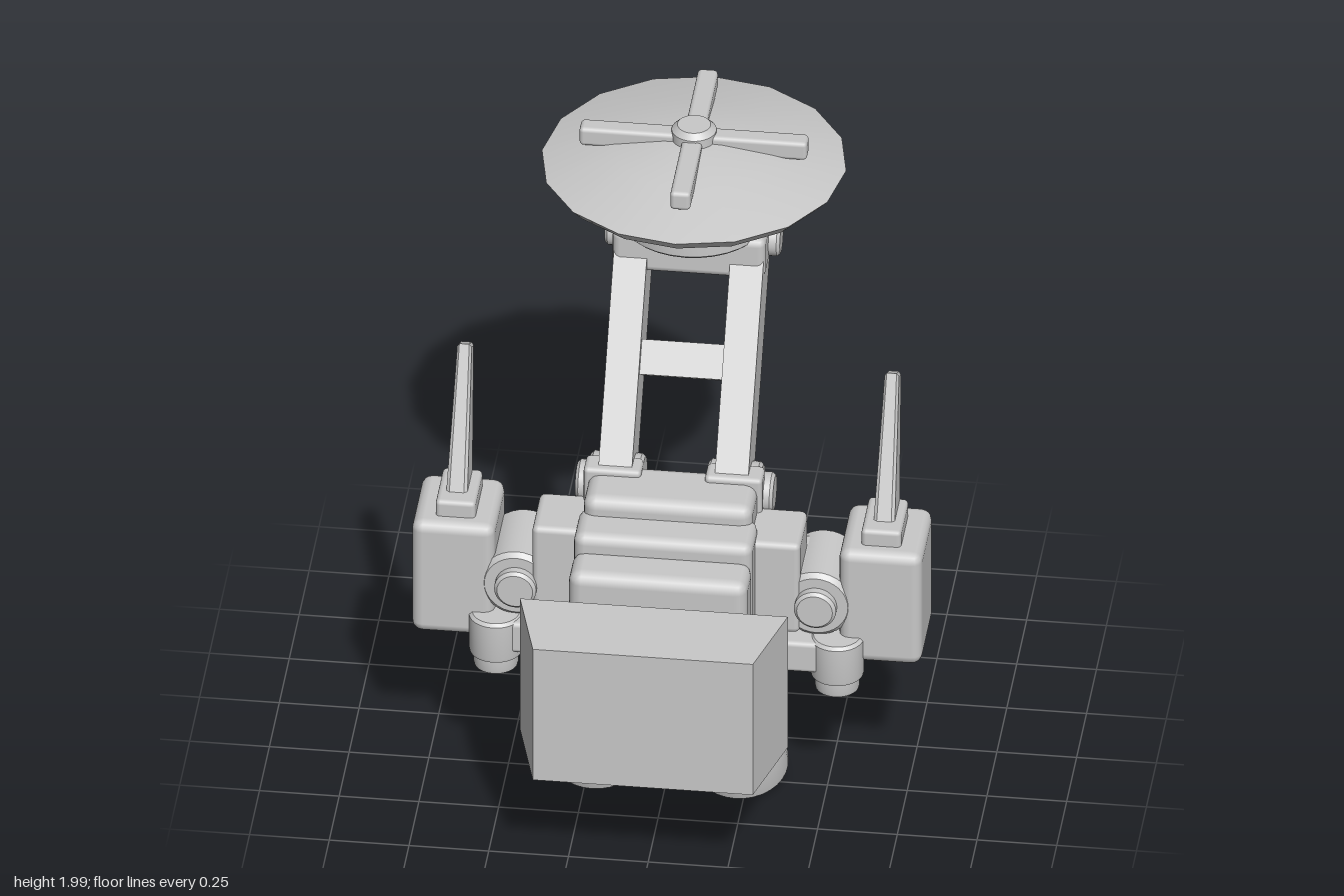
import * as THREE from 'three';
import { toCreasedNormals } from 'three/addons/utils/BufferGeometryUtils.js';
import { RoundedBoxGeometry } from 'three/addons/geometries/RoundedBoxGeometry.js';

const grey = new THREE.MeshStandardMaterial({ color: 0xc8c8c8, side: THREE.DoubleSide });
grey.name = 'plain grey';

export function createModel() {
  const model = new THREE.Group();
  model.name = 'jetPack';

  const add = (name, geometry, x = 0, y = 0, z = 0, parent = model) => {
    const mesh = new THREE.Mesh(geometry, grey);
    mesh.name = name;
    mesh.position.set(x, y, z);
    parent.add(mesh);
    return mesh;
  };
  // Box given by its limits, with chamfered edges when bevel > 0
  const block = (name, [x0, x1], [y0, y1], [z0, z1], bevel = 0, parent = model) => {
    const w = Math.abs(x1 - x0), h = y1 - y0, d = z1 - z0;
    const g = bevel ? new RoundedBoxGeometry(w, h, d, 2, bevel) : new THREE.BoxGeometry(w, h, d);
    return add(name, g, (x0 + x1) / 2, (y0 + y1) / 2, (z0 + z1) / 2, parent);
  };
  const lathe = (points, sides = 32) => toCreasedNormals(
    new THREE.LatheGeometry(points.map(([r, y]) => new THREE.Vector2(r, y)), sides), 0.6);
  // Cylinder with small chamfers, centred on its own axis
  const drum = (r, h, c = 0.01) => lathe([[0, -h / 2], [r - c, -h / 2], [r, -h / 2 + c],
    [r, h / 2 - c], [r - c, h / 2], [0, h / 2]]);
  const sideShape = (points, depth, bevel = 0) => {
    const shape = new THREE.Shape(points.map(([z, y]) => new THREE.Vector2(z, y)));
    const g = new THREE.ExtrudeGeometry(shape, { depth: depth - 2 * bevel, bevelEnabled: bevel > 0,
      bevelThickness: bevel, bevelSize: bevel, bevelOffset: -bevel, bevelSegments: 1 });
    return g.translate(0, 0, bevel - depth / 2).rotateY(-Math.PI / 2);
  };

  // Stepped body
  block('frontSlab', [-0.28, 0.28], [0.32, 0.91], [0.37, 0.53], 0.04);
  block('middleSlab', [-0.28, 0.28], [0.36, 0.97], [0.22, 0.4], 0.035);
  block('rearBody', [-0.265, 0.265], [0.4, 1.03], [0.06, 0.28], 0.04);
  block('backPanel', [-0.23, 0.23], [0.62, 0.93], [0.025, 0.12], 0.02);

  // Rear vent: frame with slats
  const vent = new THREE.Shape();
  vent.moveTo(-0.13, 0.44).lineTo(0.13, 0.44).lineTo(0.13, 0.59).lineTo(-0.13, 0.59).closePath();
  const hole = new THREE.Path();
  hole.moveTo(-0.11, 0.46).lineTo(-0.11, 0.57).lineTo(0.11, 0.57).lineTo(0.11, 0.46).closePath();
  vent.holes.push(hole);
  add('ventFrame', new THREE.ExtrudeGeometry(vent, { depth: 0.07, bevelEnabled: false }), 0, 0, 0.01);
  for (let i = 0; i < 4; i++) {
    const slat = block('ventSlat', [-0.11, 0.11], [0.467 + i * 0.026, 0.481 + i * 0.026], [0.02, 0.06]);
    slat.rotation.x = 0.3;
  }

  // Separate tapered block ahead of the body
  const chest = new THREE.Shape([[-0.42, -0.605], [0.42, -0.605], [0.345, -0.885], [-0.345, -0.885]]
    .map(([x, y]) => new THREE.Vector2(x, y)));
  add('frontBlock', new THREE.ExtrudeGeometry(chest, { depth: 0.487, bevelEnabled: false })
    .rotateX(-Math.PI / 2), 0, 0.373, 0);

  // Leaning mast: local y runs along the beams
  const mast = new THREE.Group();
  mast.name = 'mast';
  mast.position.set(0, 1.285, -0.155);
  mast.rotation.x = -0.61;
  model.add(mast);
  block('crossBar', [-0.14, 0.14], [-0.055, 0.055], [-0.06, 0.06], 0, mast);

  // Head joint and dish
  block('mastHead', [-0.24, 0.24], [1.53, 1.675], [-0.54, -0.26], 0.025);
  const headPin = add('headPin', drum(0.056, 0.55), 0, 1.6, -0.4);
  headPin.rotation.z = Math.PI / 2;
  add('dishNeck', lathe([[0, 1.65], [0.225, 1.65], [0.235, 1.66], [0.235, 1.7], [0.225, 1.71],
    [0.195, 1.715], [0.195, 1.73], [0.215, 1.74], [0.215, 1.79]]), 0, 0, -0.405);
  add('dish', lathe([[0, 1.77], [0.22, 1.77], [0.44, 1.825], [0.477, 1.865],
    [0.26, 1.925], [0.1, 1.95], [0, 1.955]], 16), 0, 0, -0.406);
  block('crossAntenna', [-0.357, 0.357], [1.91, 1.975], [-0.438, -0.374], 0.014);
  block('crossAntenna', [-0.032, 0.032], [1.91, 1.975], [-0.763, -0.049], 0.014);
  add('antennaHub', drum(0.07, 0.08, 0.018), 0, 1.96, -0.406);

  for (const s of [1, -1]) {
    const x = (a, b) => [s * a, s * b];

    // Mast beams and their hinges
    block('mastBeam', x(0.13, 0.235), [-0.37, 0.39], [-0.085, 0.085], 0, mast);
    const hinge = add('mastHinge', drum(0.095, 0.17), s * 0.185, 0.95, 0.05);
    const pin = add('hingePin', drum(0.065, 0.06), s * 0.28, 0.95, 0.05);
    hinge.rotation.z = pin.rotation.z = Math.PI / 2;
    block('hingeBlock', x(0.1, 0.28), [0.88, 1.05], [0.05, 0.14], 0.015);

    // Shoulder
    block('shoulderBlock', x(0.24, 0.42), [0.6, 0.93], [0.1, 0.31], 0.02);
    block('shoulderLink', x(0.35, 0.47), [0.6, 0.81], [0.06, 0.28], 0.015);
    const joint = add('shoulderJoint', drum(0.115, 0.27, 0.015), s * 0.47, 0.705, 0.165);
    const jointPin = add('shoulderPin', drum(0.066, 0.33), s * 0.47, 0.705, 0.17);
    joint.rotation.x = jointPin.rotation.x = Math.PI / 2;

    // Low arm with a small downward nozzle
    block('lowArm', x(0.26, 0.54), [0.48, 0.59], [0.23, 0.345], 0.015);
    add('smallNozzle', lathe([[0, 0.405], [0.068, 0.405], [0.07, 0.415], [0.07, 0.45], [0.082, 0.455],
      [0.084, 0.465], [0.084, 0.585], [0.074, 0.595], [0, 0.595]]), s * 0.535, 0, 0.285);

    // Side pod with cap, fin and rear bracket
    block('sidePod', x(0.54, 0.8), [0.5, 0.91], [0, 0.3], 0.035);
    block('podCap', x(0.605, 0.73), [0.88, 0.965], [0.05, 0.25], 0.015);
    const fin = sideShape([[0.2, 0.95], [0.055, 0.95], [-0.062, 1.36], [0, 1.392]], 0.064, 0.01);
    const p = fin.attributes.position;
    for (let i = 0; i < p.count; i++) p.setX(i, p.getX(i) * (1.05 - 0.35 * (p.getY(i) - 0.95) / 0.44));
    fin.computeVertexNormals();
    add('podFin', fin, s * 0.67);
    block('podBracket', x(0.61, 0.725), [0.655, 0.75], [-0.055, 0.02]);
    block('bracketLip', x(0.597, 0.738), [0.735, 0.76], [-0.077, 0.02]);

    // Tilted main thruster, open at the bottom
    const thruster = new THREE.Group();
    thruster.name = 'thruster';
    thruster.position.set(s * 0.225, 0.05, 0.22);
    thruster.rotation.x = 0.3;
    model.add(thruster);
    add('thrusterBell', lathe([[0.08, 0.24], [0.115, 0.14], [0.132, 0.06], [0.138, 0], [0.148, 0],
      [0.148, 0.03], [0.142, 0.09], [0.128, 0.17], [0.105, 0.24], [0.095, 0.265], [0, 0.265]]), 0, 0, 0, thruster);
    add('bellRoof', new THREE.CircleGeometry(0.082, 32).rotateX(Math.PI / 2), 0, 0.24, 0, thruster);
    add('thrusterCollar', lathe([[0.09, 0.25], [0.104, 0.265], [0.104, 0.3], [0.092, 0.31], [0.108, 0.32],
      [0.12, 0.36], [0.12, 0.43], [0.1, 0.455], [0, 0.455]]), 0, 0, 0, thruster);
  }
  return model;
}
